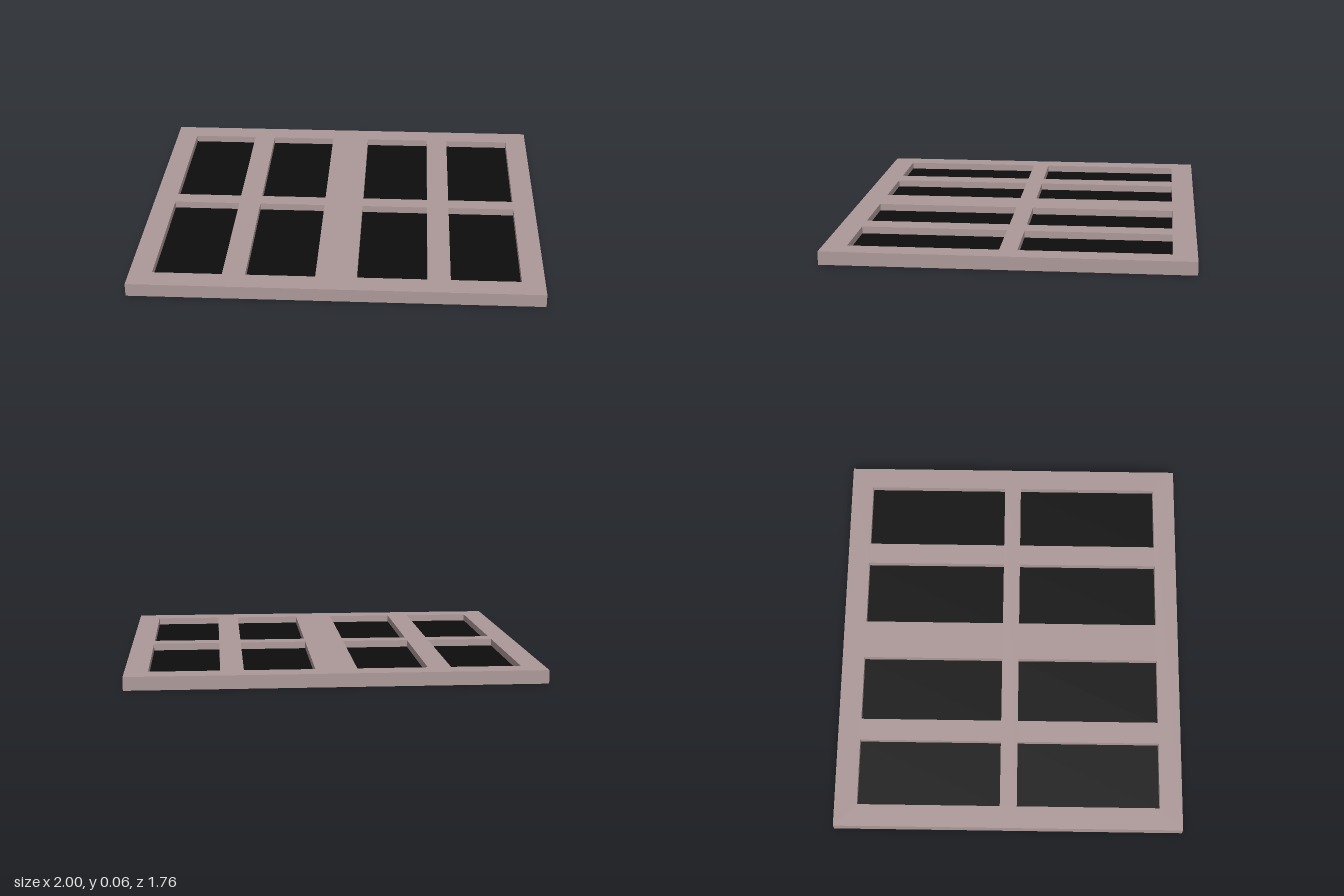
import * as THREE from 'three';

export function createModel() {
  const model = new THREE.Group();
  const frameMat = new THREE.MeshStandardMaterial({ color: 0xac9898 });
  const paneMat = new THREE.MeshStandardMaterial({ color: 0x0d0d0d });

  const halfW = 1, halfD = 0.88, height = 0.065;
  const openW = 0.338, openD = 0.722;
  const paneBottom = 0.012, paneTop = 0.03;
  const columns = [-0.719, -0.269, 0.269, 0.719];
  const rows = [-0.404, 0.404];

  const rect = (Type, cx, cy, w, d) => new Type([
    new THREE.Vector2(cx - w / 2, cy - d / 2),
    new THREE.Vector2(cx + w / 2, cy - d / 2),
    new THREE.Vector2(cx + w / 2, cy + d / 2),
    new THREE.Vector2(cx - w / 2, cy + d / 2),
  ]);

  // Flat frame with a grid of openings, each holding a recessed pane
  const outline = rect(THREE.Shape, 0, 0, halfW * 2, halfD * 2);
  const panes = new THREE.Group();
  panes.name = 'panes';
  const paneGeo = new THREE.BoxGeometry(openW, paneTop - paneBottom, openD);
  for (const x of columns) {
    for (const z of rows) {
      outline.holes.push(rect(THREE.Path, x, z, openW, openD));
      const pane = new THREE.Mesh(paneGeo, paneMat);
      pane.name = 'pane';
      pane.position.set(x, (paneBottom + paneTop) / 2, z);
      panes.add(pane);
    }
  }

  const frameGeo = new THREE.ExtrudeGeometry(outline, { depth: height, bevelEnabled: false });
  frameGeo.rotateX(-Math.PI / 2);
  const frame = new THREE.Mesh(frameGeo, frameMat);
  frame.name = 'frame';

  model.add(frame, panes);
  return model;
}
